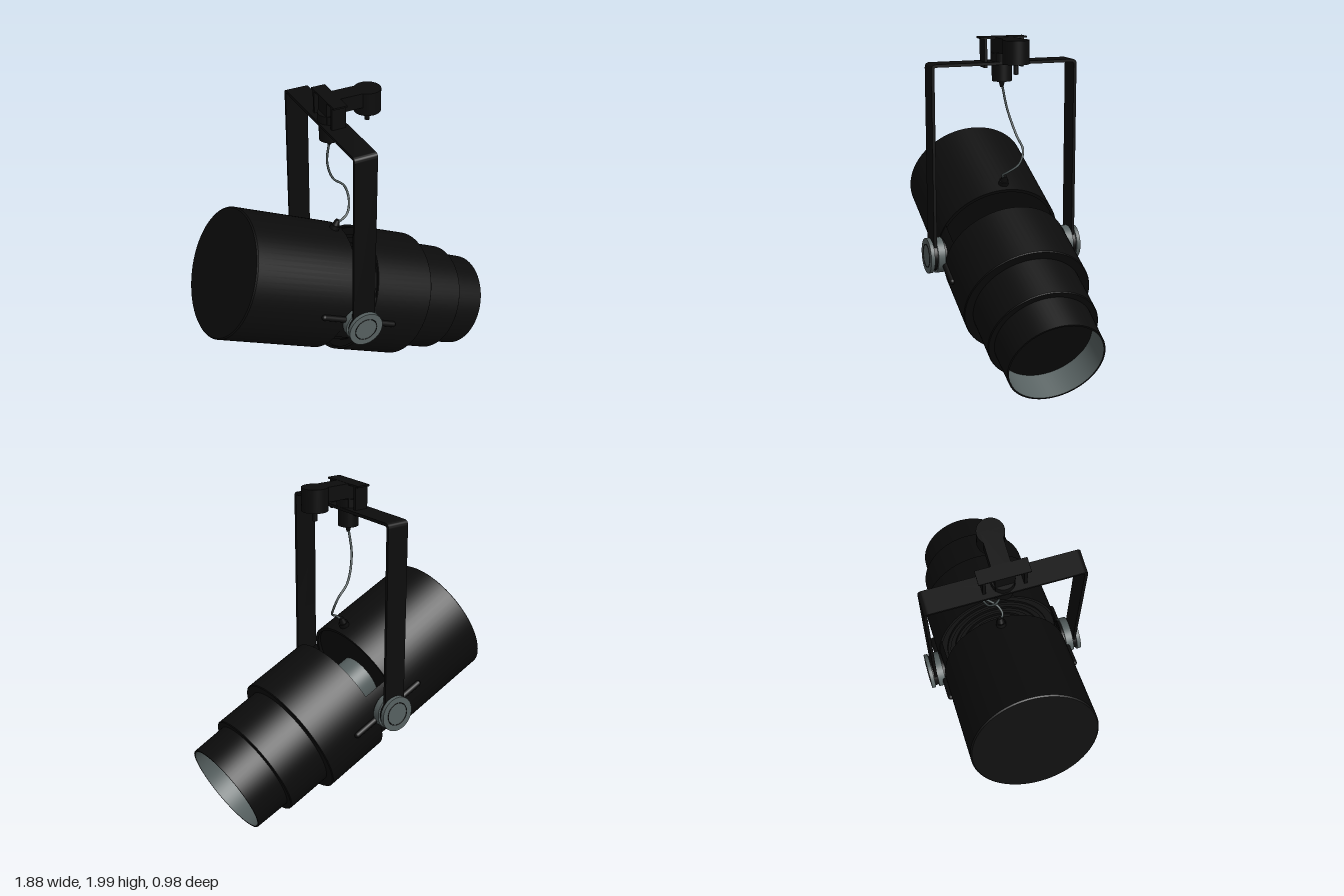
import * as THREE from 'three';
import { toCreasedNormals } from 'three/addons/utils/BufferGeometryUtils.js';

const black = new THREE.MeshStandardMaterial({ color: 0x0c0c0c, side: THREE.DoubleSide });
const grey = new THREE.MeshStandardMaterial({ color: 0x566060, side: THREE.DoubleSide });

function add(parent, name, geometry, material, x = 0, y = 0, z = 0) {
  const mesh = new THREE.Mesh(geometry, material);
  mesh.name = name;
  mesh.position.set(x, y, z);
  parent.add(mesh);
  return mesh;
}

// Turned part along local x; points are [position along axis, radius]
function turned(points) {
  const g = new THREE.LatheGeometry(points.map(([s, r]) => new THREE.Vector2(r, s)), 72);
  return toCreasedNormals(g.rotateZ(-Math.PI / 2), 0.6);
}

const box = (w, h, d) => new THREE.BoxGeometry(w, h, d);
const cyl = (r1, r2, h) => new THREE.CylinderGeometry(r1, r2, h, 40);
const cylZ = (r1, r2, h) => cyl(r1, r2, h).rotateX(Math.PI / 2);

// U-shaped strip: arms, rounded corners, top bar
function yokeGeometry() {
  const s = new THREE.Shape();
  const outer = 0.457, inner = 0.439, top = 1.855, under = 1.837, foot = 0.62, r = 0.03, ri = 0.012;
  s.moveTo(-outer, foot);
  s.lineTo(-outer, top - r);
  s.quadraticCurveTo(-outer, top, -outer + r, top);
  s.lineTo(outer - r, top);
  s.quadraticCurveTo(outer, top, outer, top - r);
  s.lineTo(outer, foot);
  s.lineTo(inner, foot);
  s.lineTo(inner, under - ri);
  s.quadraticCurveTo(inner, under, inner - ri, under);
  s.lineTo(-inner + ri, under);
  s.quadraticCurveTo(-inner, under, -inner, under - ri);
  s.lineTo(-inner, foot);
  s.closePath();
  const g = new THREE.ExtrudeGeometry(s, { depth: 0.14, bevelEnabled: false, curveSegments: 8 });
  return toCreasedNormals(g.rotateY(Math.PI / 2), 0.6);
}

function createHead() {
  const head = new THREE.Group();
  head.name = 'lampHead';

  // Rear housing, closed at both ends
  add(head, 'rearHousing', turned([
    [-0.767, 0], [-0.767, 0.382], [-0.76, 0.39], [-0.09, 0.39], [-0.09, 0.37], [-0.11, 0.37], [-0.11, 0],
  ]), black);

  // Front barrel with ringed rear face
  const rings = [[0.11, 0]];
  for (let r = 0.16; r < 0.36; r += 0.05) rings.push([0.11, r], [0.095, r], [0.095, r + 0.02], [0.11, r + 0.02]);
  add(head, 'frontBarrel', turned([
    ...rings, [0.11, 0.375], [0.082, 0.375], [0.082, 0.39], [0.49, 0.39], [0.495, 0.385], [0.495, 0.33],
  ]), black);
  add(head, 'middleBarrel', turned([
    [0.48, 0.336], [0.773, 0.334], [0.778, 0.329], [0.778, 0.285],
  ]), black);

  // Open nose tube with pale lining and recessed lens
  add(head, 'noseTube', turned([[0.76, 0.297], [0.996, 0.291], [0.996, 0.281]]), black);
  add(head, 'noseLining', turned([[0.996, 0.281], [0.82, 0.279]]), grey);
  add(head, 'lens', turned([[0.82, 0.28], [0.823, 0.14], [0.825, 0]]), black);

  // Neck joining the two housings
  add(head, 'neck', turned([[-0.12, 0.145], [0.12, 0.145]]), grey);

  for (const side of [1, -1]) {
    // Curved side plate across the gap
    const arc = Math.asin(0.15 / 0.385);
    const plate = new THREE.CylinderGeometry(0.385, 0.385, 0.2, 16, 1, true, -arc, 2 * arc);
    plate.rotateZ(-Math.PI / 2);
    if (side < 0) plate.rotateY(Math.PI);
    add(head, 'sidePlate', plate, black);

    // Slim rail with round ends
    const rail = new THREE.CapsuleGeometry(0.018, 0.504, 6, 16).rotateZ(Math.PI / 2);
    add(head, 'sideRail', rail, black, 0, 0, side * 0.396);

    // Pivot: inner washer, hub and outer clamping knob
    add(head, 'pivotWasher', cylZ(0.108, 0.108, 0.045), grey, 0, 0, side * 0.417);
    add(head, 'pivotHub', cylZ(0.095, 0.095, 0.09), black, 0, 0, side * 0.425);
    add(head, 'pivotKnob', cylZ(0.108, 0.108, 0.024), grey, 0, 0, side * 0.474);
    add(head, 'knobGroove', new THREE.TorusGeometry(0.07, 0.0025, 6, 48), black, 0, 0, side * 0.486);
  }

  // Cable gland on the rear housing
  add(head, 'glandBase', cyl(0.03, 0.03, 0.03), black, -0.15, 0.4, 0);
  add(head, 'glandTip', cyl(0.014, 0.024, 0.04), black, -0.15, 0.43, 0);

  head.position.set(-0.085, 0.69, 0);
  head.rotation.z = THREE.MathUtils.degToRad(-25);
  return head;
}

function createTrackAdapter() {
  const adapter = new THREE.Group();
  adapter.name = 'trackAdapter';
  const px = -0.083;
  add(adapter, 'topFlange', box(0.085, 0.01, 0.29), black, px, 1.995, 0);
  for (const side of [1, -1]) add(adapter, 'flangeLeg', box(0.085, 0.175, 0.018), black, px, 1.908, side * 0.115);
  add(adapter, 'adapterNeck', box(0.085, 0.16, 0.11), black, px, 1.92, 0);
  add(adapter, 'adapterArm', box(0.29, 0.088, 0.11), black, 0.02, 1.955, 0);
  add(adapter, 'contactHousing', cyl(0.078, 0.078, 0.138), black, 0.157, 1.93, 0);
  add(adapter, 'contactPin', cyl(0.014, 0.014, 0.07), black, 0.157, 1.835, 0);
  // Cable outlet under the yoke
  add(adapter, 'outletCollar', cyl(0.068, 0.068, 0.05), black, px, 1.88, 0);
  add(adapter, 'outletBody', cyl(0.06, 0.06, 0.11), black, px, 1.79, 0);
  add(adapter, 'outletTip', cyl(0.02, 0.01, 0.04), black, px, 1.717, 0);
  return adapter;
}

export function createModel() {
  const model = new THREE.Group();
  model.name = 'trackSpotlight';
  add(model, 'yoke', yokeGeometry(), black, -0.155);
  model.add(createHead(), createTrackAdapter());

  // Supply cable hanging from the outlet to the gland
  const path = new THREE.CatmullRomCurve3([
    [-0.083, 1.72, 0], [-0.082, 1.56, -0.035], [-0.025, 1.41, -0.072], [0.055, 1.33, -0.085],
    [0.07, 1.25, -0.055], [0.03, 1.195, 0.005], [-0.015, 1.17, 0.02], [-0.04, 1.145, 0],
  ].map((p) => new THREE.Vector3(...p)));
  add(model, 'cable', new THREE.TubeGeometry(path, 64, 0.007, 10), grey);
  return model;
}
